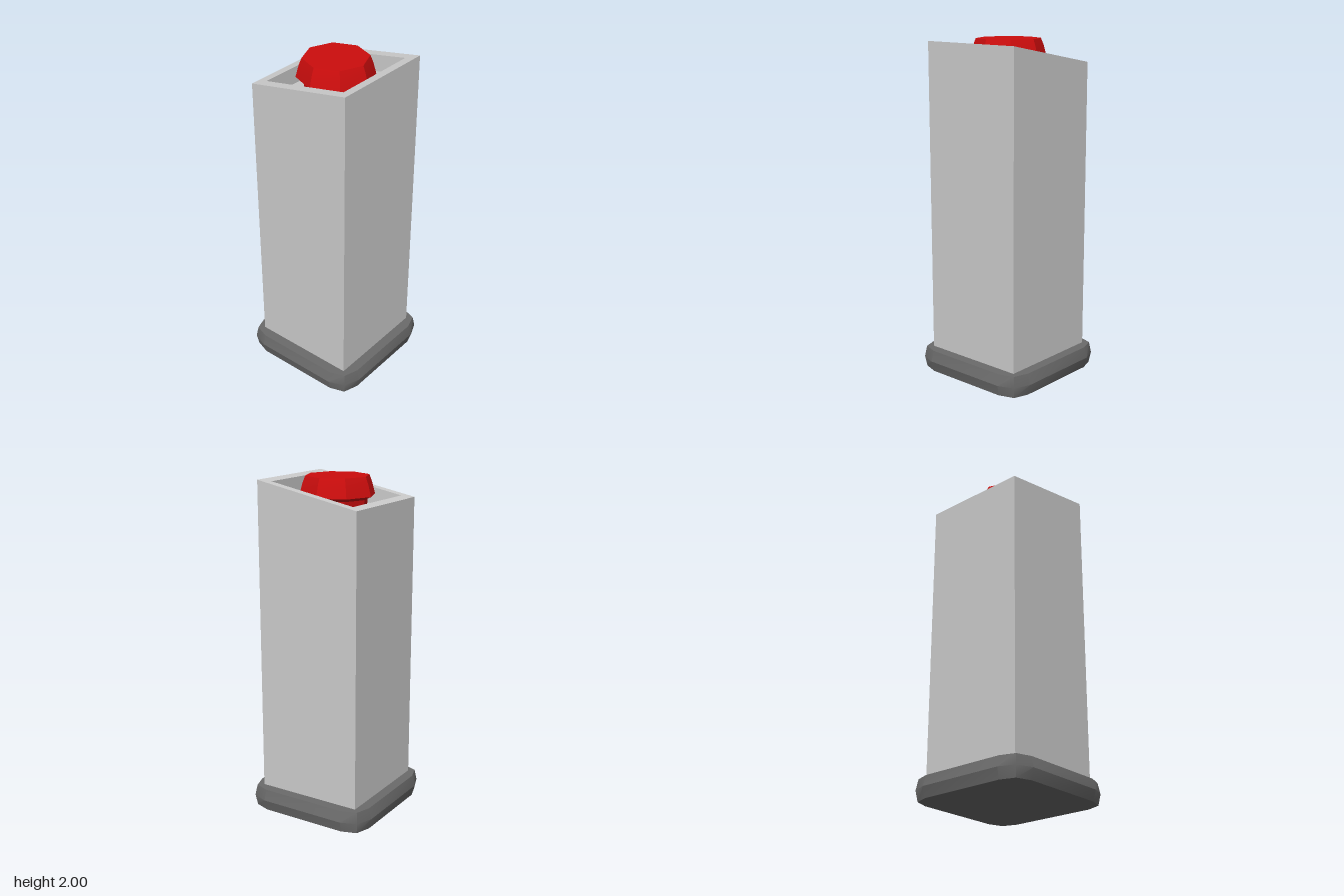
import * as THREE from 'three';
import { toCreasedNormals } from 'three/addons/utils/BufferGeometryUtils.js';

// Joins equal-length rings (counter-clockwise seen from above) and caps both ends.
function loft(rings) {
  const pos = [];
  const tri = (...pts) => pts.forEach((p) => pos.push(...p));
  const n = rings[0].length;
  for (let r = 0; r < rings.length - 1; r++) {
    for (let i = 0; i < n; i++) {
      const j = (i + 1) % n;
      const [a, b, c, d] = [rings[r][i], rings[r][j], rings[r + 1][j], rings[r + 1][i]];
      tri(a, b, c);
      tri(a, c, d);
    }
  }
  const first = rings[0];
  const last = rings[rings.length - 1];
  for (let i = 1; i < n - 1; i++) {
    tri(first[0], first[i + 1], first[i]);
    tri(last[0], last[i], last[i + 1]);
  }
  const geometry = new THREE.BufferGeometry();
  geometry.setAttribute('position', new THREE.Float32BufferAttribute(pos, 3));
  return toCreasedNormals(geometry, 0.5);
}

// Square ring whose height is given by a function of x.
const squareRing = (h, height) =>
  [[h, h], [h, -h], [-h, -h], [-h, h]].map(([x, z]) => [x, height(x), z]);

// Square ring with each corner cut by two facets.
function roundedRing(half, corner, flat, y) {
  const ring = [];
  for (let k = 0; k < 4; k++) {
    const c = Math.round(Math.cos(k * Math.PI / 2));
    const s = Math.round(Math.sin(k * Math.PI / 2));
    for (const [u, v] of [[half, flat], [corner, corner], [flat, half]]) {
      ring.push([u * c - v * s, y, -(u * s + v * c)]);
    }
  }
  return ring;
}

const octagonRing = (r, y) => Array.from({ length: 8 }, (_, i) => {
  const a = i * Math.PI / 4;
  return [r * Math.cos(a), y, -r * Math.sin(a)];
});

export function createModel() {
  const group = new THREE.Group();
  const material = (name, color) => {
    const m = new THREE.MeshStandardMaterial({ color });
    m.name = name;
    return m;
  };
  const add = (name, rings, mat) => {
    const mesh = new THREE.Mesh(loft(rings), mat);
    mesh.name = name;
    group.add(mesh);
  };

  // Bulging foot
  add('base', [
    roundedRing(0.385, 0.355, 0.265, 0),
    roundedRing(0.402, 0.365, 0.27, 0.065),
    roundedRing(0.385, 0.355, 0.265, 0.13),
  ], material('darkGrey', 0x6b6b6b));

  // Column with a slanted rim and a recess that follows the slant
  const rim = (x) => 1.923 + 0.19 * x;
  add('pillar', [
    squareRing(0.325, () => 0.12),
    squareRing(0.325, rim),
    squareRing(0.268, rim),
    squareRing(0.268, (x) => rim(x) - 0.1),
  ], material('lightGrey', 0xcccccc));

  // Eight-sided push button on a narrower neck
  add('button', [
    octagonRing(0.17, 1.78),
    octagonRing(0.18, 1.87),
    octagonRing(0.222, 1.89),
    octagonRing(0.203, 1.96),
    octagonRing(0.187, 2),
  ], material('red', 0xcc0d0d));

  return group;
}
